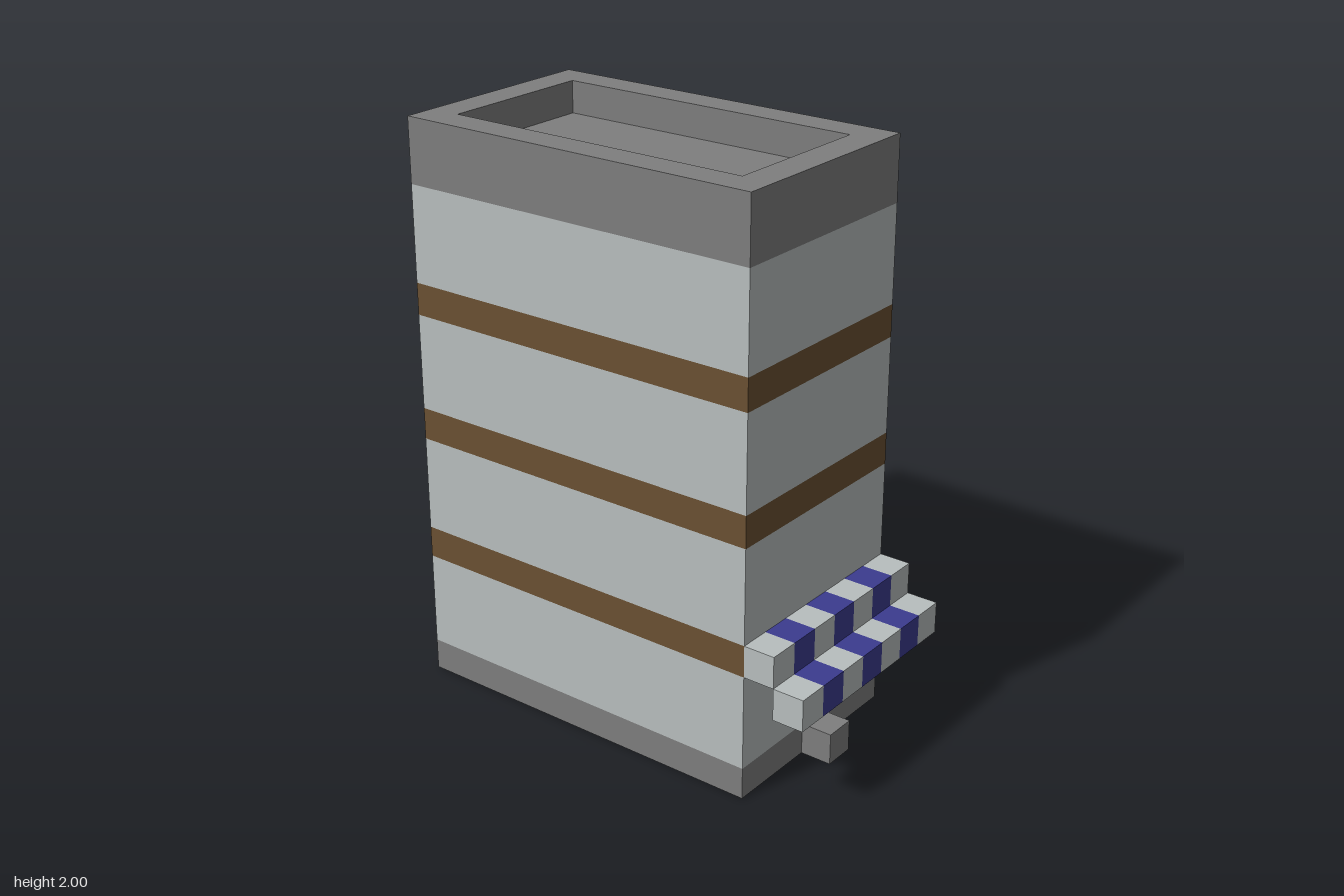
import * as THREE from 'three';

// One block of the grid; the tower is 18 blocks tall
const U = 1 / 9;

const mat = (name, color) => {
  const m = new THREE.MeshStandardMaterial({ color });
  m.name = name;
  return m;
};

export function createModel() {
  const stone = mat('stone grey', 0x7e7e7e);
  const wall = mat('pale wall', 0xb8bebe);
  const wood = mat('brown wood', 0x6a5032);
  const blue = mat('awning blue', 0x3b3b8f);

  const model = new THREE.Group();
  model.name = 'tower';

  const add = (name, geometry, material, parent = model) => {
    const mesh = new THREE.Mesh(geometry, material);
    mesh.name = name;
    parent.add(mesh);
    return mesh;
  };

  // Box given by its minimum and maximum corners in blocks
  const box = (name, [x0, y0, z0], [x1, y1, z1], material, parent) => {
    const g = new THREE.BoxGeometry((x1 - x0) * U, (y1 - y0) * U, (z1 - z0) * U);
    g.translate((x0 + x1) / 2 * U, (y0 + y1) / 2 * U, (z0 + z1) / 2 * U);
    return add(name, g, material, parent);
  };

  // Horizontal slab from an outline of [x, z] points in blocks, with an optional hole
  const slab = (name, outline, hole, y0, y1, material) => {
    const points = (list) => list.map(([x, z]) => new THREE.Vector2(x * U, -z * U));
    const shape = new THREE.Shape(points(outline));
    if (hole) shape.holes.push(new THREE.Path(points(hole)));
    const g = new THREE.ExtrudeGeometry(shape, { depth: (y1 - y0) * U, bevelEnabled: false });
    g.rotateX(-Math.PI / 2);
    g.translate(0, y0 * U, 0);
    return add(name, g, material);
  };

  const X0 = -7, X1 = 5, Z = 3.5;
  const outer = [[X0, Z], [X1, Z], [X1, -Z], [X0, -Z]];
  const inner = [[-6, 2.5], [4, 2.5], [4, -2.5], [-6, -2.5]];
  // Ground floor area with one corner block left out
  const floor = [[-5, 2.5], [4, 2.5], [4, -2.5], [-6, -2.5], [-6, 1.5], [-5, 1.5]];

  // Foundation ring with the wooden ground floor set inside it
  slab('foundation', outer, floor, 0, 1, stone);
  slab('groundFloor', floor, null, 0, 1, wood);

  // Four storeys with a wooden beam between each
  for (let i = 0; i < 4; i++) {
    const y = 1 + i * 4;
    box('storeyWall' + (i + 1), [X0, y, -Z], [X1, y + 3, Z], wall);
    if (i < 3) box('floorBeam' + (i + 1), [X0, y + 3, -Z], [X1, y + 4, Z], wood);
  }

  // Roof slab and raised parapet
  box('roof', [X0, 16, -Z], [X1, 17, Z], stone);
  slab('parapet', outer, inner, 17, 18, stone);

  // Door and doorstep on the +x side
  box('door', [X1, 1, -0.5], [X1 + 0.02, 3, 0.5], wood);
  box('doorstep', [X1, 0, -0.5], [X1 + 1, 1, 0.5], stone);

  // Stepped striped awning above the door
  const awning = new THREE.Group();
  awning.name = 'awning';
  model.add(awning);
  for (let row = 0; row < 2; row++) {
    for (let i = 0; i < 7; i++) {
      const x = X1 + row, y = 4 - row, z = -Z + i;
      box('awningStripe', [x, y, z], [x + 1, y + 1, z + 1], i % 2 ? blue : wall, awning);
    }
  }

  return model;
}
